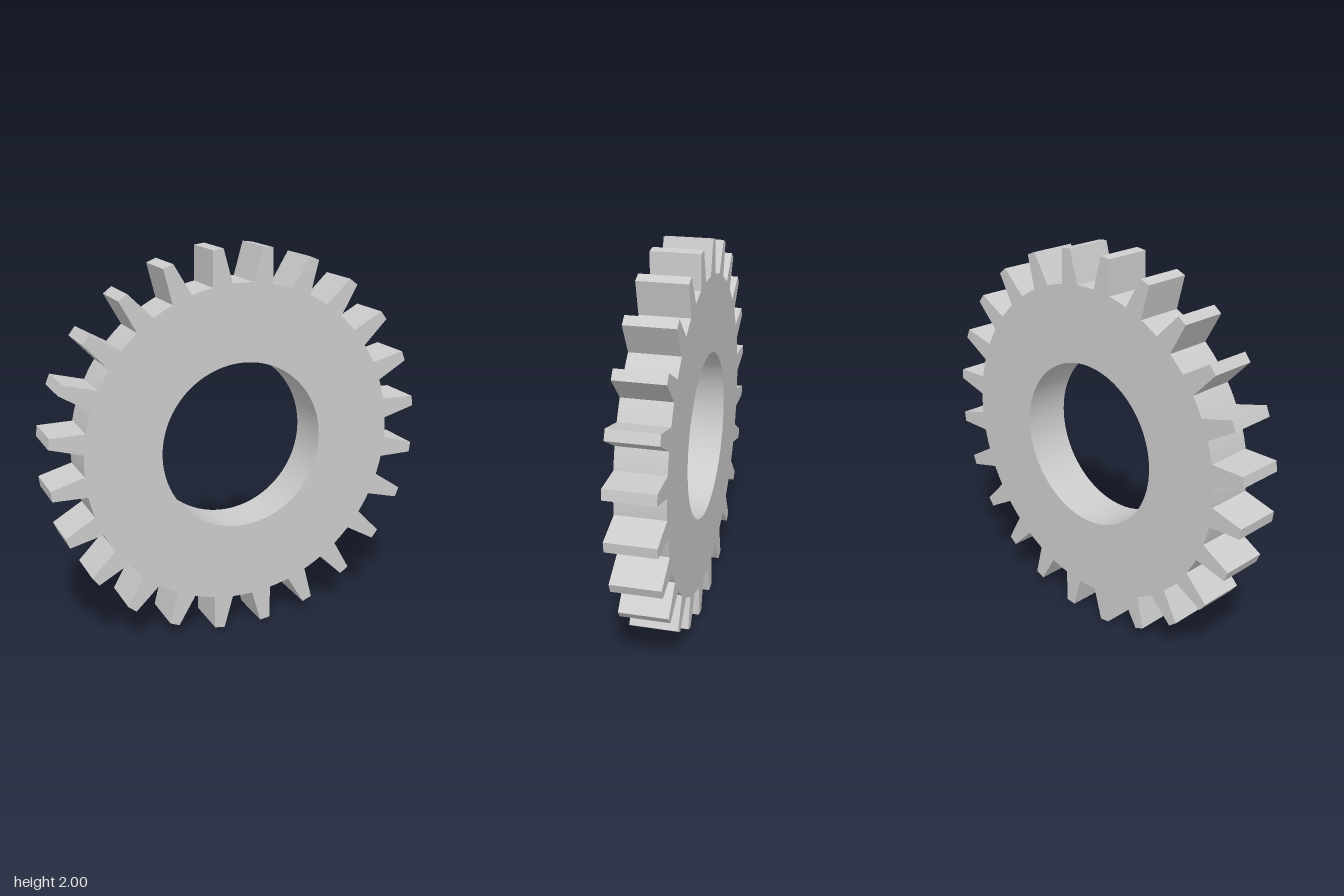
import * as THREE from 'three';
import { toCreasedNormals } from 'three/addons/utils/BufferGeometryUtils.js';

const TEETH = 24;
const TIP_RADIUS = 1.0054;
const ROOT_RADIUS = 0.831;
const BORE_RADIUS = 0.433;
const THICKNESS = 0.25;
const TIP_HALF = THREE.MathUtils.degToRad(1.55);  // half angle of a tooth at its tip
const ROOT_HALF = THREE.MathUtils.degToRad(3.65); // half angle of a tooth at its root
const ROOT_STEPS = 4;                             // facets of the valley between teeth

const polar = (r, a) => new THREE.Vector2(r * Math.cos(a), r * Math.sin(a));

// Outline: tapered teeth joined by short arcs along the root circle
function gearShape() {
  const pitch = (2 * Math.PI) / TEETH;
  const points = [];
  for (let i = 0; i < TEETH; i++) {
    const a = (i + 0.5) * pitch;
    points.push(polar(ROOT_RADIUS, a - ROOT_HALF));
    points.push(polar(TIP_RADIUS, a - TIP_HALF));
    points.push(polar(TIP_RADIUS, a + TIP_HALF));
    points.push(polar(ROOT_RADIUS, a + ROOT_HALF));
    const valley = pitch - 2 * ROOT_HALF;
    for (let s = 1; s < ROOT_STEPS; s++) {
      points.push(polar(ROOT_RADIUS, a + ROOT_HALF + (valley * s) / ROOT_STEPS));
    }
  }
  const shape = new THREE.Shape(points);

  // Round bore through the middle
  const bore = new THREE.Path();
  bore.absarc(0, 0, BORE_RADIUS, 0, 2 * Math.PI, true);
  shape.holes.push(bore);
  return shape;
}

export function createModel() {
  const group = new THREE.Group();
  group.name = 'spurGear';

  const extruded = new THREE.ExtrudeGeometry(gearShape(), {
    depth: THICKNESS, bevelEnabled: false, curveSegments: 96,
  });
  extruded.translate(0, 0, -THICKNESS / 2);

  // Smooth bore, sharp tooth edges
  const gear = new THREE.Mesh(
    toCreasedNormals(extruded, 0.3),
    new THREE.MeshStandardMaterial({ color: 0xcccccc }),
  );
  gear.name = 'toothedRing';
  gear.position.y = 1;
  group.add(gear);
  return group;
}
